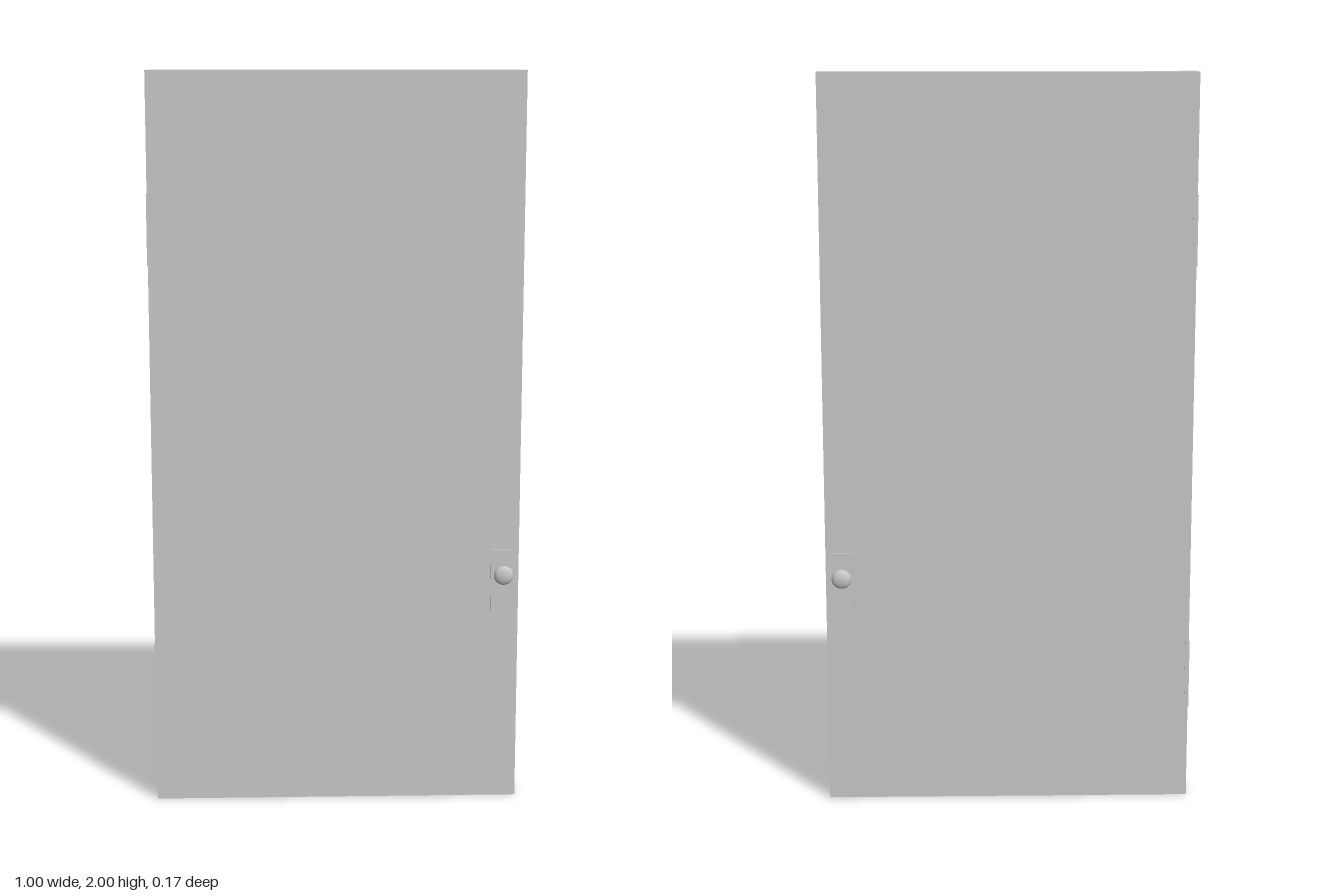
import * as THREE from 'three';

const material = new THREE.MeshStandardMaterial({ color: 0xcccccc });

// Box given by its size and centre
function box(name, w, h, d, x, y, z) {
  const mesh = new THREE.Mesh(new THREE.BoxGeometry(w, h, d), material);
  mesh.name = name;
  mesh.position.set(x, y, z);
  return mesh;
}

// Knob profile: radius, distance from the plate; slim stem and flattened domed head
function makeKnob() {
  const profile = [
    [0.009, 0], [0.009, 0.014], [0.011, 0.018], [0.018, 0.02], [0.024, 0.024],
    [0.027, 0.029], [0.025, 0.034], [0.019, 0.038], [0.01, 0.0403], [0, 0.041],
  ].map(([r, h]) => new THREE.Vector2(r, h));
  const geometry = new THREE.LatheGeometry(profile, 24);
  geometry.rotateX(Math.PI / 2);
  const knob = new THREE.Mesh(geometry, material);
  knob.name = 'knob';
  knob.position.set(0.455, 0.645, 0.046);
  return knob;
}

export function createModel() {
  const door = new THREE.Group();
  door.name = 'door';
  const thickness = 0.083;
  door.add(box('doorPanel', 0.999, 2, thickness, 0, 1, 0));

  // Knob and backing plate on both faces
  for (const side of [1, -1]) {
    const handle = new THREE.Group();
    handle.name = side > 0 ? 'frontHandle' : 'backHandle';
    const plate = box('handlePlate', 0.064, 0.2, 0.008, 0.455, 0.61, 0.043);
    const knob = makeKnob();
    if (side < 0) {
      // Half turn about the knob's own vertical line
      knob.rotation.y = Math.PI;
      knob.position.z *= -1;
      plate.position.z *= -1;
    }
    handle.add(plate, knob);
    door.add(handle);
  }

  // Latch plate on the opening edge
  door.add(box('latchPlate', 0.004, 0.2, 0.036, 0.4985, 0.61, 0));

  // Hinge leaves on the opposite edge
  for (const [name, y] of [['upperHinge', 1.585], ['lowerHinge', 0.355]]) {
    door.add(box(name, 0.012, 0.19, thickness + 0.002, -0.4955, y, 0));
  }
  return door;
}
